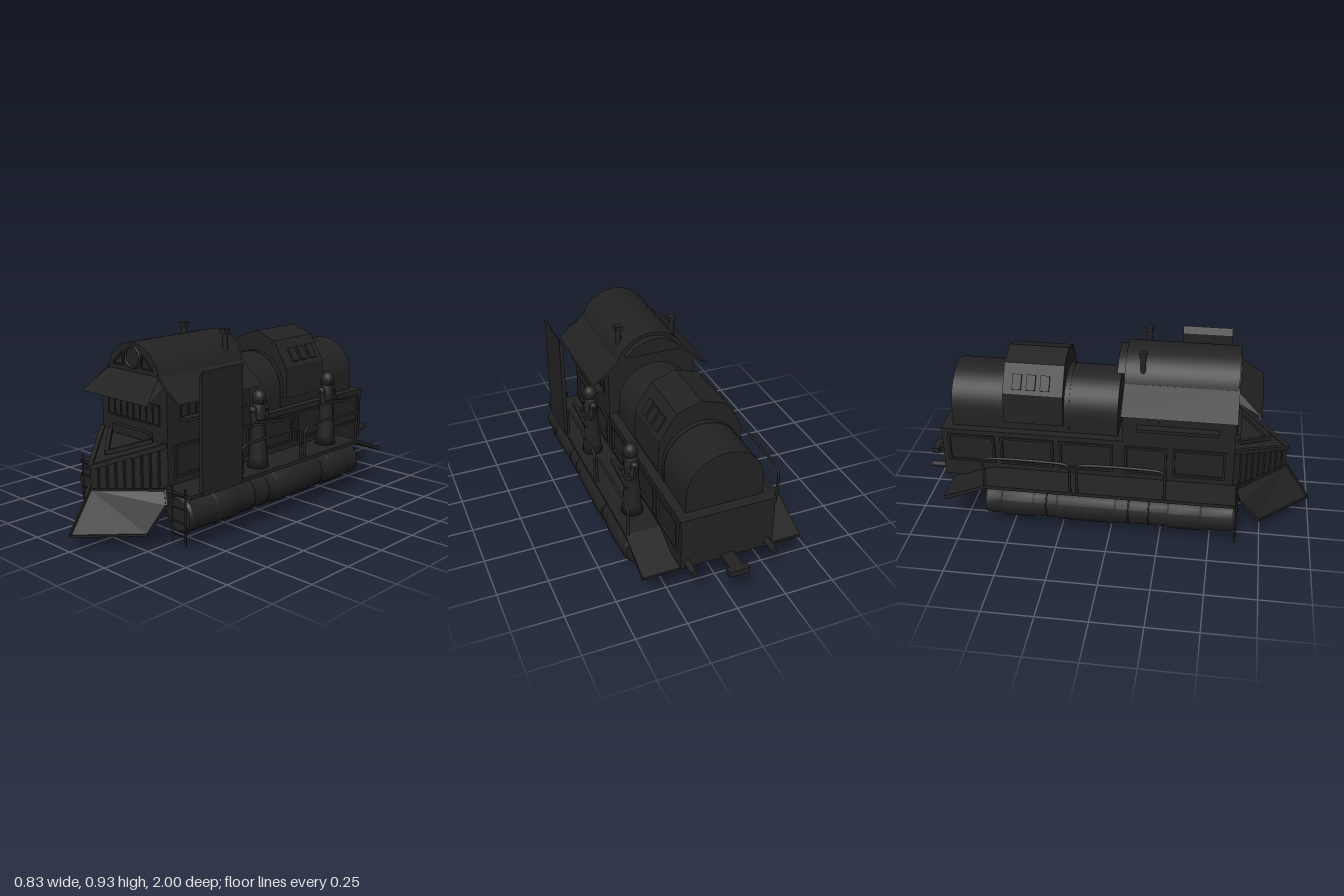
import * as THREE from 'three';
import { toCreasedNormals } from 'three/addons/utils/BufferGeometryUtils.js';
import { ConvexGeometry } from 'three/addons/geometries/ConvexGeometry.js';

const V = (x, y, z) => new THREE.Vector3(x, y, z);

export function createModel() {
  const root = new THREE.Group();
  root.name = 'armouredLocomotive';
  const iron = new THREE.MeshStandardMaterial({ color: 0x222222, side: THREE.DoubleSide });
  iron.name = 'black iron';

  const add = (name, geo, parent = root) => {
    const m = new THREE.Mesh(geo, iron);
    m.name = name;
    parent.add(m);
    return m;
  };
  // box given by its limits
  const box = (name, x0, x1, y0, y1, z0, z1) =>
    add(name, new THREE.BoxGeometry(Math.abs(x1 - x0), y1 - y0, z1 - z0)
      .translate((x0 + x1) / 2, (y0 + y1) / 2, (z0 + z1) / 2));
  // straight bar between two points, in its parent's space
  const beam = (name, a, b, w, h, parent) => {
    const m = add(name, new THREE.BoxGeometry(w, h, a.distanceTo(b)), parent);
    m.position.copy(a).add(b).multiplyScalar(0.5);
    m.quaternion.setFromRotationMatrix(new THREE.Matrix4().lookAt(b, a, V(0, 1, 0)));
  };
  const toShape = pts => new THREE.Shape(pts.map(p => new THREE.Vector2(p[0], p[1])));
  // cross-section in x,y drawn out along z
  const alongZ = (name, pts, z0, z1) => add(name, toCreasedNormals(
    new THREE.ExtrudeGeometry(toShape(pts), { depth: z1 - z0, bevelEnabled: false }).translate(0, 0, z0), 0.4));
  // profile in z,y drawn out along x
  const alongX = (name, pts, x0, x1) => add(name,
    new THREE.ExtrudeGeometry(toShape(pts), { depth: x1 - x0, bevelEnabled: false })
      .rotateY(-Math.PI / 2).translate(x1, 0, 0));
  const arc = (r, cy, a0, a1, n = 24) => Array.from({ length: n + 1 }, (_, i) => {
    const a = a0 + (a1 - a0) * i / n;
    return [r * Math.cos(a), cy + r * Math.sin(a)];
  });
  const rod = (name, r, len, axis, x, y, z, n = 20) => {
    const g = new THREE.CylinderGeometry(r, r, len, n);
    if (axis === 'x') g.rotateZ(Math.PI / 2);
    if (axis === 'z') g.rotateX(Math.PI / 2);
    add(name, g.translate(x, y, z));
  };

  // hull with a shallow skirt below its floor
  box('hull', -0.23, 0.23, 0.25, 0.48, -0.87, 0.6);
  box('hullRim', -0.235, 0.235, 0.455, 0.483, -0.873, 0.05);
  box('rearSkirt', -0.23, 0.23, 0.21, 0.25, -0.87, -0.84);
  for (const s of [-1, 1]) box('sideSkirt', s * 0.21, s * 0.23, 0.21, 0.25, -0.87, 0.6);

  // boiler
  const boilerSection = r => [[r, 0.47], ...arc(r, 0.565, 0, Math.PI), [-r, 0.47]];
  alongZ('boiler', boilerSection(0.19), -0.82, 0.02);
  for (const z of [-0.235, -0.565]) alongZ('boilerBand', boilerSection(0.193), z - 0.012, z + 0.012);
  // armoured saddle over the boiler
  alongZ('boilerSaddle', [[-0.21, 0.53], [0.21, 0.53], [0.205, 0.69], [0.12, 0.82], [0, 0.86], [-0.12, 0.82], [-0.205, 0.69]], -0.55, -0.25);
  for (const s of [-1, 1]) for (const z of [-0.34, -0.41, -0.48])
    beam('saddleTab', V(s * 0.195, 0.712, z), V(s * 0.153, 0.776, z), 0.045, 0.014);

  // cab with arched roof
  alongZ('cab', [[-0.23, 0.25], [0.23, 0.25], [0.23, 0.715], [0.18, 0.775],
    ...arc(0.1875, 0.72, 0.3, Math.PI - 0.3), [-0.18, 0.775], [-0.23, 0.715]], 0.05, 0.6);
  alongZ('rearGableHood', arc(0.17, 0.72, 0.56, Math.PI - 0.56), 0.012, 0.05);
  for (const s of [-1, 1]) {
    const eave = [[0.17, 0.783], [0.312, 0.667], [0.23, 0.712], [0.17, 0.765]].map(p => [s * p[0], p[1]]);
    alongZ('eave', eave, 0.05, 0.605);
  }
  // front awning, wider at its lower edge
  add('frontAwning', new ConvexGeometry([-1, 1].flatMap(s =>
    [V(s * 0.175, 0.775, 0.595), V(s * 0.23, 0.667, 0.72), V(s * 0.21, 0.73, 0.595)])));
  add('gableWindowRing', new THREE.TorusGeometry(0.05, 0.006, 8, 28).translate(0, 0.84, 0.6));
  for (const s of [-1, 1]) {
    const t = [V(s * 0.065, 0.795, 0.602), V(s * 0.14, 0.795, 0.602), V(s * 0.07, 0.86, 0.602)];
    t.forEach((p, i) => beam('gableTriangle', p, t[(i + 1) % 3], 0.006, 0.006));
  }
  // front window with bars
  for (const y of [0.545, 0.64]) box('frontWindowRail', -0.18, 0.18, y - 0.004, y + 0.004, 0.595, 0.608);
  for (let i = 0; i <= 8; i++)
    box('frontWindowBar', -0.183 + i * 0.045, -0.177 + i * 0.045, 0.545, 0.64, 0.595, 0.605);
  // chimneys
  for (const s of [-1, 1]) {
    rod('chimney', 0.014, 0.2, 'y', s * 0.143, 0.82, 0.137);
    box('chimneyCap', s * 0.125, s * 0.161, 0.912, 0.932, 0.119, 0.155);
  }

  // pointed nose
  const nose = [V(0, 0.26, 0.865), V(0, 0.37, 0.865)];
  for (const s of [-1, 1]) nose.push(V(s * 0.23, 0.26, 0.6), V(s * 0.23, 0.465, 0.6));
  add('nose', new ConvexGeometry(nose));
  for (const s of [-1, 1]) {
    beam('noseTopTrim', V(s * 0.228, 0.465, 0.605), V(0, 0.372, 0.866), 0.022, 0.022);
    beam('noseInnerTrim', V(s * 0.15, 0.475, 0.62), V(0, 0.42, 0.77), 0.02, 0.02);
    for (let i = 1; i < 9; i++) {
      const x = s * 0.232 * i / 9, z = 0.868 - 0.265 * i / 9;
      beam('noseSlat', V(x, 0.27, z), V(x, 0.36 + 0.095 * i / 9, z), 0.008, 0.008);
    }
  }
  box('noseBackTrim', -0.13, 0.13, 0.465, 0.505, 0.598, 0.625);

  // plough, hollow behind
  for (const s of [-1, 1]) {
    const p = [V(0, 0.265, 0.87), V(0, 0.075, 0.995), V(s * 0.24, 0.075, 0.74), V(s * 0.272, 0.2, 0.65), V(s * 0.235, 0.26, 0.625)];
    const tris = [[0, 1, 2], [0, 2, 3], [0, 3, 4]].flatMap(t => s > 0 ? t : [t[0], t[2], t[1]]);
    const g = new THREE.BufferGeometry().setFromPoints(tris.map(i => p[i]));
    g.computeVertexNormals();
    add('ploughBlade', g);
    for (let i = 0; i < 5; i++) beam('ploughTrim', p[i], p[(i + 1) % 5], 0.01, 0.01);
  }

  // both flanks
  for (const s of [-1, 1]) {
    box('deck', s * 0.225, s * 0.4, 0.25, 0.268, -0.62, 0.62);
    alongX('rearRamp', [[-0.62, 0.25], [-0.62, 0.268], [-0.835, 0.185], [-0.83, 0.165]], s > 0 ? 0.22 : -0.4, s > 0 ? 0.4 : -0.22);

    // side armour panels with ribs
    for (const [z0, z1] of [[-0.84, -0.6], [-0.57, -0.3], [-0.27, 0], [0.06, 0.27], [0.3, 0.56]]) {
      for (const y of [0.3, 0.445]) box('panelRail', s * 0.228, s * 0.242, y, y + 0.012, z0, z1);
      for (const z of [z0, z1 - 0.012]) box('panelPost', s * 0.228, s * 0.242, 0.3, 0.455, z, z + 0.012);
    }
    // side cab window with ledge and bars
    box('windowLedge', s * 0.23, s * 0.275, 0.565, 0.582, 0.12, 0.52);
    for (let i = 0; i < 9; i++)
      box('windowBar', s * 0.228, s * 0.235, 0.58, 0.66, 0.12 + i * 0.049, 0.128 + i * 0.049);

    // row of long tanks, turned as one profile
    const prof = [[0, -0.625], [0.075, -0.625], [0.085, -0.61]];
    for (const [a, b] of [[-0.53, -0.38], [-0.25, 0.03], [0.3, 0.45]])
      prof.push([0.085, a - 0.01], [0.09, a], [0.09, b], [0.085, b + 0.01]);
    prof.push([0.085, 0.61], [0.075, 0.625], [0, 0.625]);
    add('sideTank', toCreasedNormals(new THREE.LatheGeometry(prof.map(p => new THREE.Vector2(...p)), 16)
      .rotateX(Math.PI / 2).translate(s * 0.325, 0.16, 0), 0.5));
    for (const z of [-0.31, 0.1, 0.2])
      add('tankSeam', new THREE.TorusGeometry(0.084, 0.004, 6, 16).translate(s * 0.325, 0.16, z));

    // handrails
    for (const [z0, z1] of [[-0.62, -0.19], [-0.155, 0.275]]) {
      const c = new THREE.CatmullRomCurve3([[z0, 0.26], [z0, 0.34], [z0, 0.4], [z0 + 0.012, 0.418], [z0 + 0.03, 0.424],
        [z1 - 0.03, 0.424], [z1 - 0.012, 0.418], [z1, 0.4], [z1, 0.34], [z1, 0.26]]
        .map(([z, y]) => V(s * 0.387, y, z)), false, 'centripetal');
      add('handrail', new THREE.TubeGeometry(c, 48, 0.007, 8));
    }
    // front ladder
    const lx = s * 0.328;
    for (const d of [-0.044, 0.044]) rod('ladderRail', 0.005, 0.27, 'y', lx + d, 0.16, 0.627, 8);
    for (const y of [0.065, 0.13, 0.195, 0.255]) rod('ladderRung', 0.004, 0.09, 'x', lx, y, 0.627, 8);

    // rear buffers
    rod('buffer', 0.016, 0.08, 'z', s * 0.2, 0.242, -0.91, 12);
  }

  // coupling
  box('couplingBar', -0.032, 0.032, 0.208, 0.232, -0.98, -0.86);
  box('couplingHead', -0.05, 0.05, 0.205, 0.235, -1.0, -0.965);

  // wheels: two discs on a hub, joined by a thick axle
  for (const z of [0.4, -0.47]) {
    rod('axle', 0.035, 0.3, 'x', 0, 0.12, z);
    for (const s of [-1, 1]) {
      rod('wheelHub', 0.065, 0.05, 'x', s * 0.153, 0.12, z);
      for (const x of [0.13, 0.178]) rod('wheelDisc', 0.12, 0.02, 'x', s * x, 0.12, z, 32);
    }
  }

  // tall armour shield on the left deck
  alongZ('deckShield', [[0.385, 0.25], [0.405, 0.25], [0.405, 0.825], [0.385, 0.79]], 0.29, 0.55);

  // robed guards facing outward with long guns
  for (const [x, z] of [[0.318, 0.085], [0.306, -0.46]]) {
    const guard = new THREE.Group();
    guard.name = 'guard';
    guard.position.set(x, 0.268, z);
    root.add(guard);
    const robe = [[0, 0], [0.053, 0], [0.046, 0.05], [0.038, 0.15], [0.033, 0.21], [0.037, 0.27], [0.033, 0.305], [0.022, 0.325], [0, 0.33]];
    add('robe', new THREE.LatheGeometry(robe.map(p => new THREE.Vector2(...p)), 16), guard);
    add('head', new THREE.SphereGeometry(0.036, 16, 12).scale(1, 1.15, 0.95).translate(0.003, 0.345, 0), guard);
    beam('mask', V(0.02, 0.335, 0), V(0.042, 0.33, 0), 0.02, 0.018, guard);
    for (const s of [-1, 1]) {
      add('shoulder', new THREE.SphereGeometry(0.02, 12, 8).translate(0, 0.29, s * 0.042), guard);
      beam('upperArm', V(0, 0.295, s * 0.045), V(0.015, 0.225, s * 0.052), 0.024, 0.024, guard);
      beam('forearm', V(0.012, 0.225, s * 0.052), V(0.06, 0.235, s * 0.025), 0.02, 0.02, guard);
    }
    beam('gun', V(0.064, 0.225, -0.11), V(0.064, 0.25, 0.085), 0.014, 0.016, guard);
  }
  return root;
}
